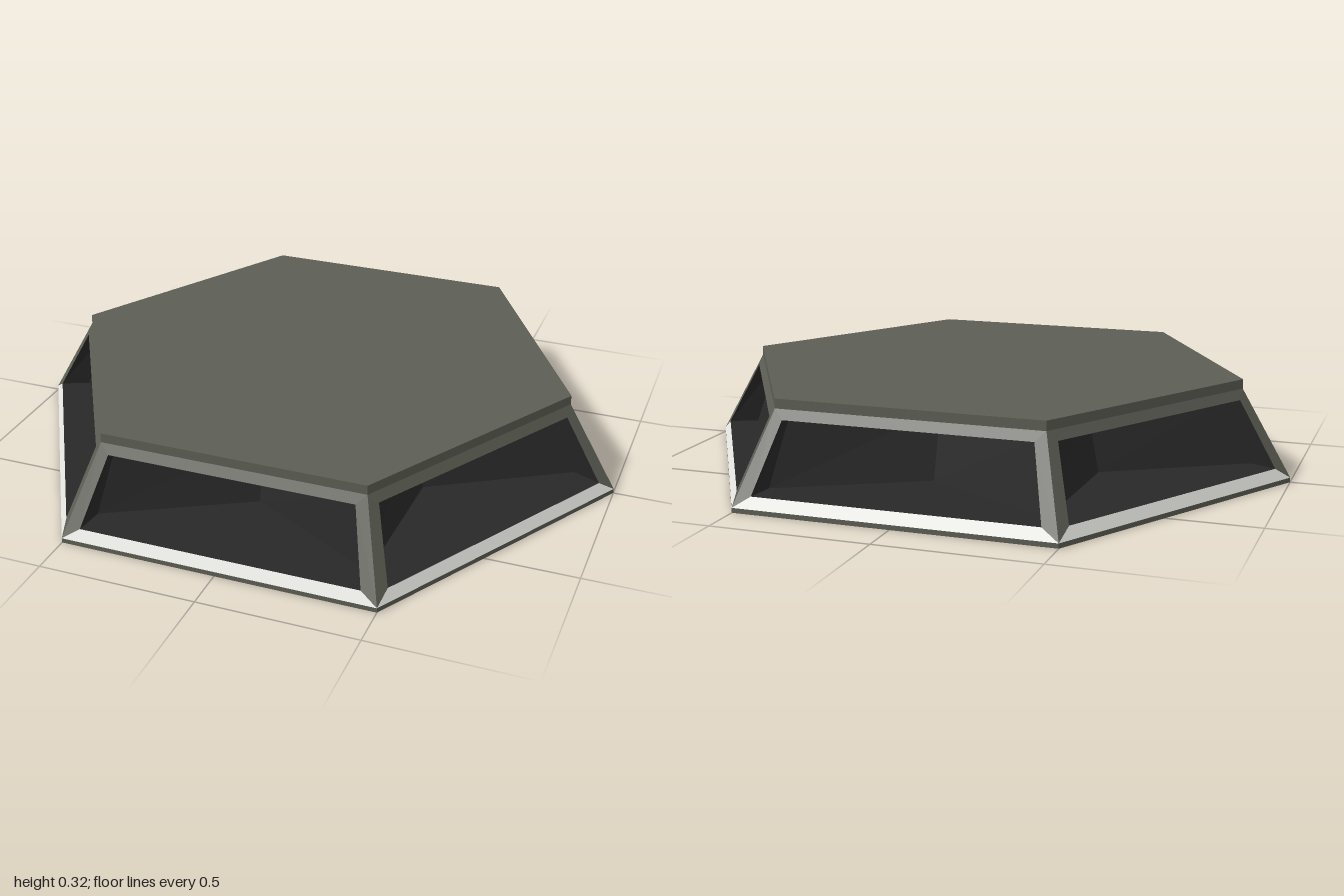
import * as THREE from 'three';

const COS30 = Math.sqrt(3) / 2;

// Points are [x, y, z]; each polygon is a counter-clockwise convex fan.
function polyGeometry(polys) {
  const pos = [];
  for (const p of polys) {
    for (let i = 1; i < p.length - 1; i++) pos.push(...p[0], ...p[i], ...p[i + 1]);
  }
  const g = new THREE.BufferGeometry();
  g.setAttribute('position', new THREE.Float32BufferAttribute(pos, 3));
  g.computeVertexNormals();
  return g;
}

// Mirror a point or a polygon across x = 0, keeping the winding outward.
const flip = ([x, y, z]) => [-x, y, z];
const mirrored = (poly) => poly.map(flip).reverse();
const both = (poly) => [poly, mirrored(poly)];

export function createModel() {
  const material = (name, color) => {
    const m = new THREE.MeshStandardMaterial({ color });
    m.name = name;
    return m;
  };
  const frameMat = material('greenGreyFrame', 0x5c5e54);
  const stripMat = material('paleStrip', 0xe8e8e4);
  const darkMat = material('darkRecess', 0x282828);

  const model = new THREE.Group();
  model.name = 'hexagonalPlatform';
  const add = (parent, name, geometry, mat) => {
    const mesh = new THREE.Mesh(geometry, mat);
    mesh.name = name;
    parent.add(mesh);
    return mesh;
  };

  // Base plate and top plate
  const plate = (name, radius, y0, y1) => {
    const g = new THREE.CylinderGeometry(radius, radius, y1 - y0, 6, 1, false, Math.PI / 6).toNonIndexed();
    g.computeVertexNormals();
    add(model, name, g, frameMat).position.y = (y0 + y1) / 2;
  };
  plate('basePlate', 1, 0, 0.015);
  plate('topPlate', 0.84, 0.29, 0.32);

  // Key points on the right half of one sloped side
  const corner = (r, y) => [r / 2, y, r * COS30];
  const low = corner(1, 0.015);
  const high = corner(0.84, 0.29);
  const openLow = [0.445, 0.05, 0.98 * COS30];
  const openHigh = [0.39, 0.26, 0.858 * COS30];
  const tipLow = corner(0.87, 0.05);
  const tipHigh = corner(0.79, 0.26);
  const backLow = [0, 0.05, 0.515];
  const backHigh = [0, 0.26, 0.458];

  // Sloped frame: two posts, the upper rail and the recess ceiling
  const frame = polyGeometry([
    ...both([low, high, openHigh, openLow]),
    [flip(openHigh), openHigh, high, flip(high)],
    [backHigh, tipHigh, openHigh, flip(openHigh), flip(tipHigh)],
  ]);
  // Pale strip along the foot of the side
  const strip = polyGeometry([[flip(low), low, openLow, flip(openLow)]]);
  // V-shaped recess: floor, post returns and back walls
  const recess = polyGeometry([
    [backLow, flip(tipLow), flip(openLow), openLow, tipLow],
    ...both([tipLow, openLow, openHigh, tipHigh]),
    ...both([backLow, tipLow, tipHigh, backHigh]),
  ]);

  for (let i = 0; i < 6; i++) {
    const side = new THREE.Group();
    side.name = `side${i + 1}`;
    side.rotation.y = (i * Math.PI) / 3;
    add(side, 'frame', frame, frameMat);
    add(side, 'footStrip', strip, stripMat);
    add(side, 'recess', recess, darkMat);
    model.add(side);
  }
  return model;
}
